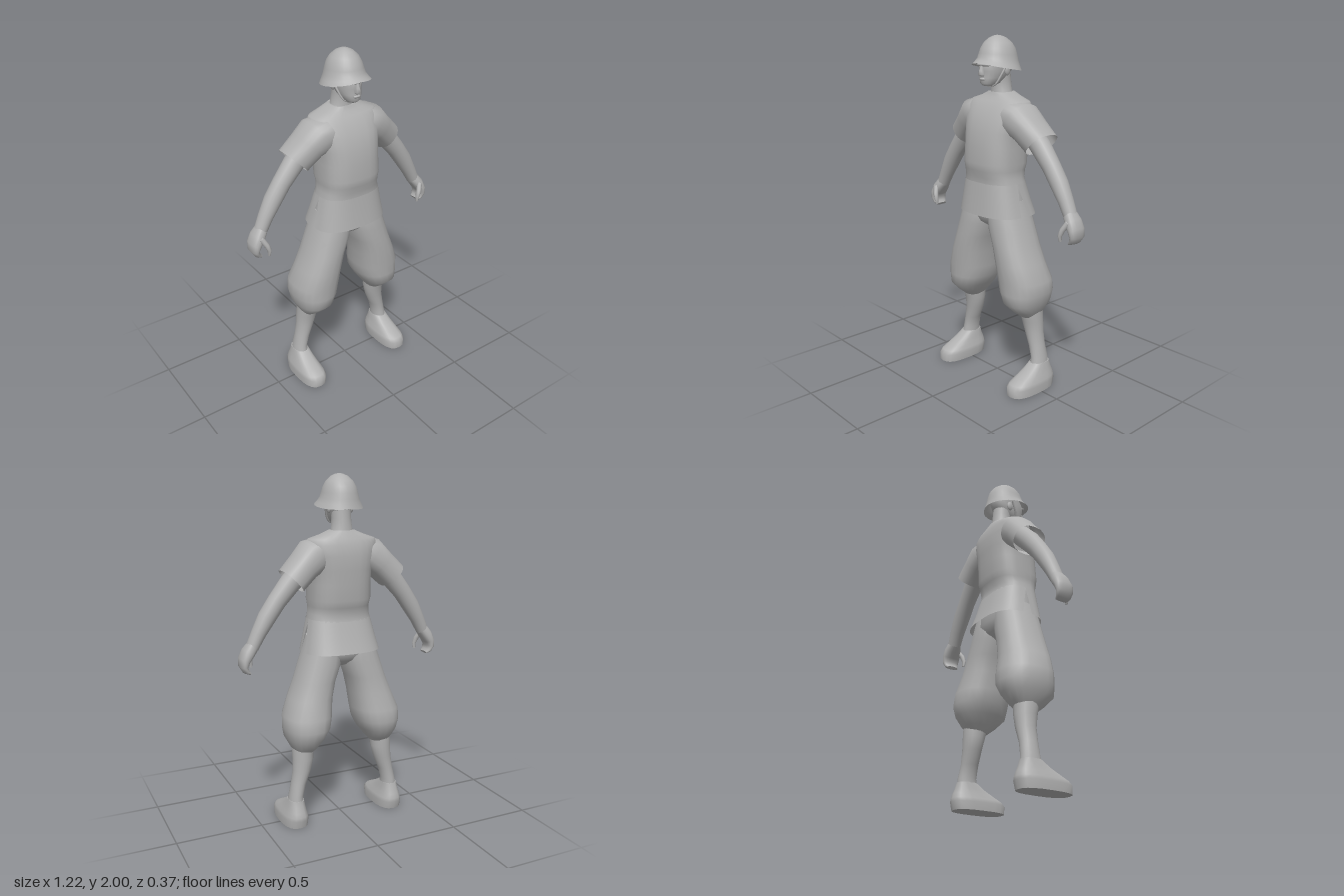
import * as THREE from 'three';

const cloth = new THREE.MeshStandardMaterial({ color: 0xb0b0b0, side: THREE.DoubleSide });
cloth.name = 'plain grey';

const Z = new THREE.Vector3(0, 0, 1);
const X = new THREE.Vector3(1, 0, 0);

// Horizontal ring read as extents; arc limits let a ring stay open.
const H = (y, x0, x1, z0, z1, a0 = 0, a1 = Math.PI * 2) => ({
  c: new THREE.Vector3((x0 + x1) / 2, y, (z0 + z1) / 2),
  u: Z.clone().multiplyScalar((z1 - z0) / 2),
  v: X.clone().multiplyScalar((x1 - x0) / 2), a0, a1,
});
const S = (y, x, z0, z1, a0, a1) => H(y, -x, x, z0, z1, a0, a1);

// Skin over rings; power below 1 squares the section off.
function loft(rings, { seg = 20, power = 1, open = false, start = true, end = true } = {}) {
  const pos = [], idx = [];
  const cols = open ? seg + 1 : seg;
  const bend = (t) => Math.sign(t) * Math.abs(t) ** power;
  const addRing = (r) => {
    for (let j = 0; j < cols; j++) {
      const a = (r.a0 ?? 0) + ((r.a1 ?? Math.PI * 2) - (r.a0 ?? 0)) * j / seg;
      const p = r.c.clone().addScaledVector(r.u, bend(Math.cos(a))).addScaledVector(r.v, bend(Math.sin(a)));
      pos.push(p.x, p.y, p.z);
    }
  };
  rings.forEach(addRing);
  for (let i = 0; i < rings.length - 1; i++) {
    for (let j = 0; j < seg; j++) {
      const k = (j + 1) % cols;
      const a = i * cols + j, b = i * cols + k, c = a + cols, d = b + cols;
      idx.push(a, b, c, b, d, c);
    }
  }
  const cap = (r, flip) => {
    const base = pos.length / 3;
    addRing(r);
    pos.push(r.c.x, r.c.y, r.c.z);
    for (let j = 0; j < seg; j++) {
      const a = base + j, b = base + (j + 1) % seg;
      idx.push(base + cols, ...(flip ? [b, a] : [a, b]));
    }
  };
  if (!open && start) cap(rings[0], true);
  if (!open && end) cap(rings[rings.length - 1], false);
  const g = new THREE.BufferGeometry();
  g.setAttribute('position', new THREE.Float32BufferAttribute(pos, 3));
  g.setIndex(idx);
  g.computeVertexNormals();
  return g;
}

// Limb along points [x, y, z, radius in the front plane, radius in z].
function limb(points, options) {
  const rings = points.map(([x, y, z, rn, rz], i) => {
    const p = points[Math.max(i - 1, 0)], q = points[Math.min(i + 1, points.length - 1)];
    const d = new THREE.Vector3(q[0] - p[0], q[1] - p[1], 0).normalize();
    return {
      c: new THREE.Vector3(x, y, z),
      u: Z.clone().multiplyScalar(rz),
      v: d.cross(Z).multiplyScalar(rn),
    };
  });
  return loft(rings, options);
}

function mirrored(g) {
  const m = g.clone().scale(-1, 1, 1);
  const ix = m.index.array;
  for (let i = 0; i < ix.length; i += 3) [ix[i], ix[i + 1]] = [ix[i + 1], ix[i]];
  m.computeVertexNormals();
  return m;
}

export function createModel() {
  const model = new THREE.Group();
  model.name = 'standingFigure';
  const add = (name, g) => {
    const mesh = new THREE.Mesh(g, cloth);
    mesh.name = name;
    model.add(mesh);
  };
  const pair = (name, g) => {
    add('left' + name, g);
    add('right' + name, mirrored(g));
  };
  const ellipsoid = (x, y, z, rx, ry, rz) =>
    new THREE.SphereGeometry(1, 12, 8).scale(rx, ry, rz).translate(x, y, z);

  // Shirt body
  add('shirt', loft([
    S(1.19, 0.185, -0.118, 0.147), S(1.23, 0.176, -0.11, 0.147), S(1.27, 0.172, -0.125, 0.16),
    S(1.31, 0.18, -0.135, 0.163), S(1.4, 0.176, -0.14, 0.158), S(1.48, 0.182, -0.145, 0.148),
    S(1.56, 0.2, -0.147, 0.125), S(1.62, 0.212, -0.135, 0.09), S(1.65, 0.195, -0.122, 0.066),
    S(1.672, 0.125, -0.112, 0.045), S(1.695, 0.07, -0.1, 0.035),
  ], { seg: 28, power: 0.75, start: false }));

  // Shirt skirt: front and back panels parted by a slit at each hip
  const panel = (mid) => {
    const ring = (y, x, z0, z1, half) => S(y, x, z0, z1, mid - half, mid + half);
    return loft([
      ring(1.015, 0.228, -0.172, 0.167, 1.47), ring(1.1, 0.207, -0.143, 0.157, 1.52),
      ring(1.2, 0.184, -0.115, 0.147, 1.58),
    ], { open: true, power: 0.75, seg: 18 });
  };
  add('shirtFrontPanel', panel(0));
  add('shirtBackPanel', panel(Math.PI));

  // Sleeves, open at the cuff
  pair('Sleeve', limb([
    [0.12, 1.575, -0.01, 0.085, 0.105], [0.17, 1.555, -0.015, 0.1, 0.118],
    [0.23, 1.505, -0.028, 0.086, 0.108], [0.308, 1.43, -0.042, 0.083, 0.1],
  ], { power: 0.85, end: false }));

  // Arms, curled hands and thumbs
  pair('Arm', limb([
    [0.22, 1.51, -0.035, 0.06, 0.06], [0.31, 1.42, -0.035, 0.06, 0.055],
    [0.39, 1.325, -0.035, 0.053, 0.05], [0.45, 1.24, -0.035, 0.051, 0.05],
    [0.5, 1.155, -0.035, 0.042, 0.044], [0.538, 1.08, -0.033, 0.036, 0.04],
  ]));
  pair('Hand', limb([
    [0.53, 1.095, -0.033, 0.034, 0.038], [0.56, 1.055, -0.03, 0.036, 0.052],
    [0.583, 1.015, -0.028, 0.03, 0.056], [0.59, 0.98, -0.028, 0.022, 0.052],
    [0.577, 0.952, -0.028, 0.016, 0.045], [0.558, 0.94, -0.028, 0.009, 0.036],
  ], { power: 0.85 }));
  pair('Thumb', limb([
    [0.563, 1.06, 0.01, 0.016, 0.018], [0.54, 1.02, 0.03, 0.015, 0.016],
    [0.527, 0.985, 0.036, 0.012, 0.013], [0.527, 0.952, 0.032, 0.007, 0.008],
  ], { seg: 10 }));

  // Baggy trousers gathered below the knee
  add('trouserSeat', loft([
    S(0.925, 0.04, -0.05, 0.05), S(0.96, 0.12, -0.1, 0.1), S(1.01, 0.195, -0.13, 0.125),
    S(1.1, 0.188, -0.12, 0.13), S(1.2, 0.16, -0.1, 0.12),
  ], { power: 0.85 }));
  pair('TrouserLeg', loft([
    H(0.43, 0.195, 0.295, -0.09, 0.03), H(0.465, 0.165, 0.315, -0.125, 0.075),
    H(0.52, 0.125, 0.343, -0.165, 0.13), H(0.58, 0.092, 0.355, -0.182, 0.135),
    H(0.65, 0.078, 0.353, -0.174, 0.137), H(0.75, 0.068, 0.313, -0.15, 0.143),
    H(0.85, 0.046, 0.273, -0.14, 0.141), H(0.94, 0.01, 0.245, -0.133, 0.138),
    H(1.03, 0.0, 0.213, -0.125, 0.133), H(1.1, 0.02, 0.19, -0.11, 0.12),
  ], { power: 0.85 }));

  // Shins and shoes
  pair('Shin', loft([
    H(0.1, 0.258, 0.355, -0.115, 0.02), H(0.18, 0.263, 0.345, -0.11, 0.0),
    H(0.25, 0.242, 0.33, -0.103, 0.0), H(0.33, 0.21, 0.317, -0.107, 0.005),
    H(0.4, 0.193, 0.315, -0.11, 0.018), H(0.48, 0.19, 0.312, -0.11, 0.04),
  ]));
  pair('Shoe', loft([
    H(0, 0.232, 0.384, -0.135, 0.182), H(0.045, 0.23, 0.385, -0.145, 0.184),
    H(0.065, 0.236, 0.38, -0.143, 0.165), H(0.09, 0.246, 0.37, -0.135, 0.115),
    H(0.12, 0.254, 0.36, -0.122, 0.055), H(0.155, 0.262, 0.35, -0.112, 0.003),
  ], { power: 0.75 }));

  // Neck, head and face
  add('neck', loft([
    S(1.64, 0.09, -0.1, 0.035), S(1.7, 0.06, -0.092, 0.028),
    S(1.76, 0.055, -0.085, 0.03), S(1.82, 0.055, -0.08, 0.04),
  ]));
  add('head', loft([
    S(1.732, 0.028, 0.025, 0.098), S(1.745, 0.043, -0.01, 0.112), S(1.775, 0.058, -0.055, 0.114),
    S(1.81, 0.066, -0.085, 0.11), S(1.85, 0.07, -0.1, 0.118), S(1.91, 0.07, -0.1, 0.085),
  ], { power: 0.88 }));
  add('nose', loft([
    S(1.784, 0.014, 0.09, 0.122), S(1.793, 0.018, 0.09, 0.138),
    S(1.815, 0.012, 0.09, 0.132), S(1.85, 0.009, 0.09, 0.118),
  ], { seg: 8 }));
  add('lips', ellipsoid(0, 1.768, 0.106, 0.024, 0.009, 0.014));
  add('brow', ellipsoid(0, 1.845, 0.1, 0.055, 0.011, 0.022));
  pair('Ear', ellipsoid(0.068, 1.815, -0.012, 0.012, 0.03, 0.02));

  // Chin strap
  const strap = new THREE.CatmullRomCurve3([
    [-0.08, 1.85, 0.0], [-0.066, 1.79, 0.03], [-0.04, 1.74, 0.05], [0, 1.728, 0.06],
    [0.04, 1.74, 0.05], [0.066, 1.79, 0.03], [0.08, 1.85, 0.0],
  ].map((p) => new THREE.Vector3(...p)));
  add('chinStrap', new THREE.TubeGeometry(strap, 24, 0.006, 6));

  // Helmet with a flared brim, tilted up at the front
  const helmet = loft([
    S(1.832, 0.135, -0.137, 0.147), S(1.852, 0.121, -0.13, 0.128), S(1.873, 0.108, -0.124, 0.114),
    S(1.9, 0.1, -0.118, 0.107), S(1.93, 0.09, -0.107, 0.097), S(1.96, 0.073, -0.086, 0.078),
    S(1.985, 0.046, -0.055, 0.05), S(1.996, 0.022, -0.028, 0.025), S(2.0, 0.003, -0.004, 0.004),
  ], { seg: 28, start: false });
  const p = helmet.attributes.position;
  for (let i = 0; i < p.count; i++) {
    const y = p.getY(i), z = p.getZ(i);
    const t = Math.max(0, (1.93 - y) / 0.1);
    p.setY(i, y + t * (0.16 * z - 0.08 * Math.abs(p.getX(i))));
  }
  helmet.computeVertexNormals();
  add('helmet', helmet);

  return model;
}
